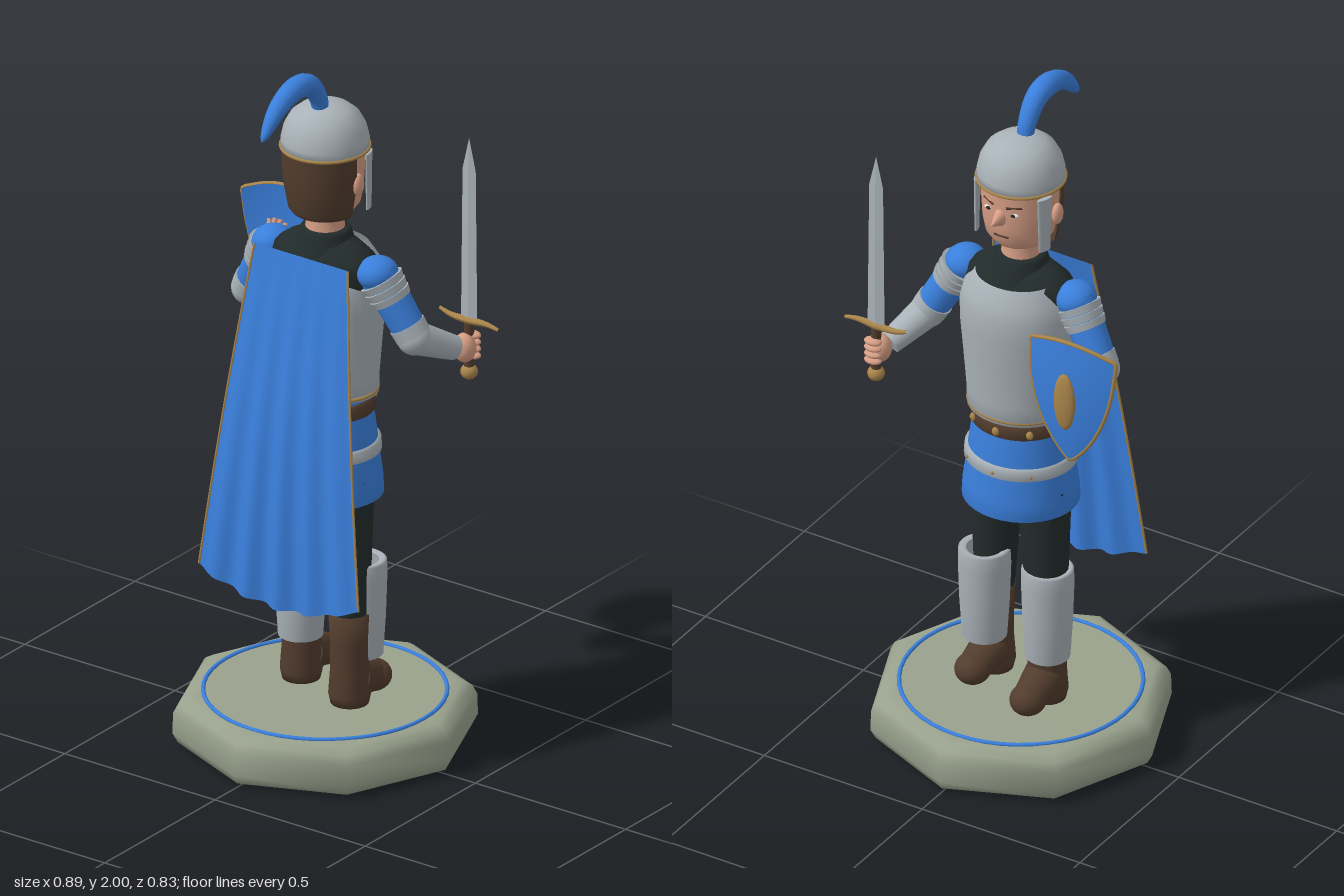
import * as THREE from 'three';
import { toCreasedNormals } from 'three/addons/utils/BufferGeometryUtils.js';

const paint = (name, color, side = THREE.FrontSide) => {
  const m = new THREE.MeshStandardMaterial({ color, side });
  m.name = name;
  return m;
};
const V = (x, y, z) => new THREE.Vector3(x, y, z);

export function createModel() {
  const blue = paint('blue cloth', 0x3a7fdc, THREE.DoubleSide);
  const steel = paint('steel', 0xa9b2b8, THREE.DoubleSide);
  const brown = paint('brown leather', 0x523c2d, THREE.DoubleSide);
  const dark = paint('dark cloth', 0x222b2b);
  const skin = paint('skin', 0xd69e85);
  const gold = paint('gold', 0xa8844a);
  const stone = paint('stone', 0x99a28d);
  const white = paint('eye white', 0xe6e2d8);

  const model = new THREE.Group();
  model.name = 'knight';

  const add = (name, geo, mat, pos = [0, 0, 0], scale = [1, 1, 1]) => {
    const mesh = new THREE.Mesh(geo, mat);
    mesh.name = name;
    mesh.position.set(...pos);
    mesh.scale.set(...scale);
    model.add(mesh);
    return mesh;
  };
  const ball = (name, mat, pos, size) => add(name, new THREE.SphereGeometry(1, 24, 16), mat, pos, size);
  // Profile points are [radius, height], bottom to top
  const turned = (name, mat, pts, { x = 0, z = 0, sz = 1, seg = 36, start = 0, arc = Math.PI * 2 } = {}) =>
    add(name, new THREE.LatheGeometry(pts.map(p => new THREE.Vector2(...p)), seg, start, arc), mat, [x, 0, z], [1, 1, sz]);
  // Tapered round piece between two points
  const limb = (name, mat, a, b, ra, rb, seg = 20) => {
    const d = b.clone().sub(a);
    const m = add(name, new THREE.CylinderGeometry(rb, ra, d.length(), seg), mat, a.clone().add(b).multiplyScalar(0.5).toArray());
    m.quaternion.setFromUnitVectors(V(0, 1, 0), d.normalize());
    return m;
  };
  // Tube whose radius follows radius(t)
  const tube = (name, mat, pts, radius, closed = false, seg = 40, radial = 10) => {
    const curve = new THREE.CatmullRomCurve3(pts, closed);
    const geo = new THREE.TubeGeometry(curve, seg, 1, radial, closed);
    const p = geo.attributes.position, v = V(0, 0, 0);
    for (let i = 0; i < p.count; i++) {
      const t = Math.floor(i / (radial + 1)) / seg, c = curve.getPointAt(closed ? t % 1 : t);
      v.fromBufferAttribute(p, i).sub(c).multiplyScalar(radius(t)).add(c);
      p.setXYZ(i, v.x, v.y, v.z);
    }
    geo.computeVertexNormals();
    return add(name, geo, mat);
  };
  const hoop = (name, mat, r, t, y, sz = 1, z = 0) => {
    const m = add(name, new THREE.TorusGeometry(r, t, 10, 48), mat, [0, y, z], [1, sz, 1]);
    m.rotation.x = Math.PI / 2;
    return m;
  };
  // Sheet from a rule (u: -1..1, v: 0..1) giving a point
  const sheet = (name, mat, rule, nu, nv) => {
    const geo = new THREE.PlaneGeometry(2, 1, nu, nv), p = geo.attributes.position;
    for (let i = 0; i < p.count; i++) p.setXYZ(i, ...rule(p.getX(i), 0.5 - p.getY(i)).toArray());
    geo.computeVertexNormals();
    return add(name, geo, mat);
  };

  // Base
  turned('base', stone, [[0, 0], [0.375, 0], [0.4, 0.012], [0.415, 0.04], [0.413, 0.1], [0.4, 0.125], [0.375, 0.14], [0.34, 0.142], [0, 0.142]], { seg: 8 });
  hoop('baseRing', blue, 0.328, 0.006, 0.143);

  // Legs, boots and greaves; one foot is a step ahead
  for (const [s, z] of [[1, 0.025], [-1, -0.028]]) {
    const x = s * 0.1;
    limb('leg', dark, V(x, 0.38, z), V(s * 0.082, 0.8, z * 0.5), 0.053, 0.075);
    turned('bootShaft', brown, [[0, 0.142], [0.052, 0.142], [0.058, 0.17], [0.053, 0.24], [0.053, 0.32], [0.058, 0.41], [0, 0.41]], { x, z });
    limb('bootFoot', brown, V(x, 0.21, z - 0.015), V(s * 0.104, 0.186, z - 0.1), 0.057, 0.045);
    ball('bootToe', brown, [s * 0.104, 0.185, z - 0.102], [0.05, 0.044, 0.052]);
    turned('greave', steel, [[0.055, 0.272], [0.061, 0.27], [0.068, 0.38], [0.072, 0.5], [0.071, 0.545], [0.064, 0.55], [0.05, 0.545]], { x, z: -0.025 });
  }

  // Skirt and belts
  turned('skirt', blue, [[0.08, 0.75], [0.15, 0.732], [0.163, 0.74], [0.16, 0.79], [0.15, 0.86], [0.143, 0.92], [0.133, 0.99], [0.12, 1.05]], { sz: 0.93 });
  turned('hipBand', steel, [[0.146, 0.862], [0.157, 0.866], [0.155, 0.895], [0.144, 0.9]], { sz: 0.93 });
  turned('belt', brown, [[0.125, 0.982], [0.139, 0.986], [0.138, 1.02], [0.125, 1.024]], { sz: 0.93 });
  for (const a of [-0.7, 0, 0.7]) {
    ball('beltStud', gold, [0.138 * Math.sin(a), 1.003, -0.129 * Math.cos(a)], [0.011, 0.013, 0.008]);
    ball('bandStud', gold, [0.155 * Math.sin(a), 0.88, -0.146 * Math.cos(a)], [0.005, 0.005, 0.005]);
  }

  // Torso
  turned('breastplate', steel, [[0.12, 1.03], [0.142, 1.035], [0.143, 1.09], [0.152, 1.2], [0.161, 1.3], [0.162, 1.36], [0.15, 1.41], [0.118, 1.455]], { sz: 0.85, z: -0.018 });
  hoop('breastplateTrim', gold, 0.141, 0.005, 1.045, 0.88, -0.012);
  turned('shoulderCloth', dark, [[0.155, 1.36], [0.167, 1.41], [0.155, 1.445], [0.11, 1.478], [0.05, 1.5], [0, 1.5]], { sz: 0.6 });
  turned('collar', dark, [[0.1, 1.43], [0.082, 1.47], [0.071, 1.505], [0.064, 1.515], [0.04, 1.515]]);

  // Head
  turned('neck', skin, [[0.056, 1.5], [0.05, 1.54], [0.052, 1.6]]);
  turned('head', skin, [[0, 1.548], [0.045, 1.551], [0.075, 1.565], [0.094, 1.592], [0.102, 1.635], [0.105, 1.69], [0.105, 1.77]], { z: -0.004 });
  turned('hair', brown, [[0.03, 1.575], [0.09, 1.562], [0.1, 1.575], [0.112, 1.64], [0.117, 1.7], [0.117, 1.76]], { start: -1.45, arc: 2.9 });
  const nose = add('nose', new THREE.ConeGeometry(0.032, 0.062, 20), skin, [0, 1.672, -0.123], [0.75, 1, 1.1]);
  nose.rotation.x = -1.65;
  for (const s of [-1, 1]) {
    ball('ear', skin, [s * 0.113, 1.665, 0.004], [0.014, 0.032, 0.02]);
    ball('eye', white, [s * 0.039, 1.69, -0.099], [0.015, 0.006, 0.006]);
    ball('pupil', dark, [s * 0.039, 1.69, -0.104], [0.007, 0.005, 0.003]);
    limb('eyebrow', brown, V(s * 0.02, 1.71, -0.107), V(s * 0.06, 1.713, -0.09), 0.004, 0.003, 8);
    const guard = add('cheekGuard', new THREE.CylinderGeometry(0.026, 0.02, 0.165, 20), steel, [s * 0.107, 1.658, -0.052], [0.28, 1, 0.95]);
    guard.rotation.y = s * 0.35;
  }
  limb('mouth', brown, V(-0.022, 1.612, -0.1), V(0.022, 1.612, -0.1), 0.0035, 0.0035, 8);

  // Helmet and plume
  turned('helmet', steel, [[0.1, 1.748], [0.121, 1.748], [0.12, 1.775], [0.112, 1.81], [0.095, 1.842], [0.068, 1.864], [0.035, 1.875], [0, 1.878]]);
  hoop('helmetRim', gold, 0.12, 0.005, 1.752);
  tube('plume', blue, [V(0, 1.855, 0.018), V(0, 1.905, 0.033), V(0, 1.955, 0.075), V(0, 1.967, 0.135), V(0, 1.94, 0.21), V(0, 1.865, 0.287)],
    t => t < 0.4 ? 0.022 + 0.025 * t : 0.032 * Math.sqrt(Math.max(0.003, 1 - ((t - 0.4) / 0.6) ** 1.7)), false, 48, 16);

  // Cape with gold side edges
  const cape = (u, v) => V(u * (0.155 + 0.11 * v), 1.46 - v * (0.94 + 0.06 * (1 - u * u)),
    0.109 + 0.108 * v + 0.012 * v * Math.cos(u * Math.PI * 5) * (1 - 0.5 * u * u) + 0.026 * Math.sin(v * Math.PI) * (1 - 0.6 * u * u));
  sheet('cape', blue, cape, 60, 24);
  for (const s of [-1, 1]) {
    const edge = Array.from({ length: 9 }, (_, i) => cape(s, i / 8));
    tube('capeEdge', gold, edge, () => 0.0035, false, 32, 8);
  }

  // Arms
  for (const s of [-1, 1]) {
    const shoulder = V(s * 0.174, 1.42, 0), elbow = V(s * 0.275, 1.245, -0.03);
    const wrist = s > 0 ? V(0.325, 1.185, -0.145) : V(-0.298, 1.3, -0.165);
    const along = t => shoulder.clone().lerp(elbow, t);
    ball('shoulder', blue, shoulder.toArray(), [0.056, 0.046, 0.06]);
    limb('upperArm', blue, shoulder, elbow, 0.054, 0.046);
    for (const t of [0.1, 0.21, 0.32]) limb('shoulderBand', steel, along(t), along(t + 0.1), 0.065 - t * 0.02, 0.06 - t * 0.02);
    limb('elbowBand', steel, along(0.8), along(0.97), 0.051, 0.05);
    ball('elbow', steel, elbow.toArray(), [0.049, 0.049, 0.049]);
    limb('forearm', steel, elbow, wrist, 0.047, 0.034);
  }

  // Open hand behind the shield
  ball('openPalm', skin, [-0.302, 1.318, -0.178], [0.027, 0.035, 0.02]);
  for (let i = 0; i < 4; i++)
    limb('finger', skin, V(-0.322 + i * 0.013, 1.335, -0.183), V(-0.33 + i * 0.018, 1.378 - 0.006 * Math.abs(i - 1.5), -0.198), 0.009, 0.007, 10);
  limb('thumb', skin, V(-0.322, 1.31, -0.175), V(-0.348, 1.34, -0.19), 0.01, 0.008, 10);

  // Gripping hand
  ball('fist', skin, [0.338, 1.18, -0.172], [0.032, 0.042, 0.032]);
  for (let i = 0; i < 4; i++) ball('knuckle', skin, [0.345, 1.151 + i * 0.02, -0.198], [0.026, 0.011, 0.018]);

  // Sword
  const sx = 0.342, sz = -0.187;
  limb('grip', brown, V(sx, 1.11, sz), V(sx, 1.25, sz), 0.014, 0.014);
  ball('pommel', gold, [sx, 1.105, sz], [0.024, 0.022, 0.024]);
  tube('crossguard', gold, [V(sx - 0.098, 1.268, sz), V(sx - 0.06, 1.257, sz), V(sx, 1.256, sz), V(sx + 0.06, 1.258, sz), V(sx + 0.098, 1.252, sz)],
    t => 0.005 + 0.007 * (1 - Math.abs(2 * t - 1)), false, 24, 10);
  const blade = new THREE.LatheGeometry([[0, 1.25], [0.027, 1.255], [0.022, 1.7], [0, 1.795]].map(p => new THREE.Vector2(...p)), 4);
  add('blade', toCreasedNormals(blade, 0.3), steel, [sx, 0, sz], [1, 1, 0.22]);

  // Shield
  const shield = off => (u, v) => {
    const top = 1.453 - 0.034 * u * u;
    return V(-0.308 + u * 0.133 * (1 - v ** 2.2) ** 0.8, top + (1.083 - top) * v,
      -0.262 + off + 0.022 * u * u * (1 - v ** 2.2) + 0.05 * (v - 0.45) ** 2);
  };
  sheet('shieldFace', blue, shield(0), 20, 24);
  sheet('shieldBack', blue, shield(0.01), 20, 24);
  const rule = shield(0.004), rim = [];
  for (let i = 0; i < 10; i++) rim.push(rule(-1 + i / 5, 0));
  for (let i = 0; i < 14; i++) rim.push(rule(1, i / 14));
  for (let i = 14; i > 0; i--) rim.push(rule(-1, i / 14));
  tube('shieldRim', gold, rim, () => 0.006, true, 110, 8);
  ball('shieldBoss', gold, [-0.308, 1.28, -0.272], [0.033, 0.088, 0.014]);
  tube('shieldStrap', brown, [V(-0.364, 1.275, -0.19), V(-0.335, 1.285, -0.158), V(-0.3, 1.288, -0.135), V(-0.265, 1.285, -0.145), V(-0.236, 1.28, -0.175)],
    () => 0.012, false, 32, 10);

  return model;
}
